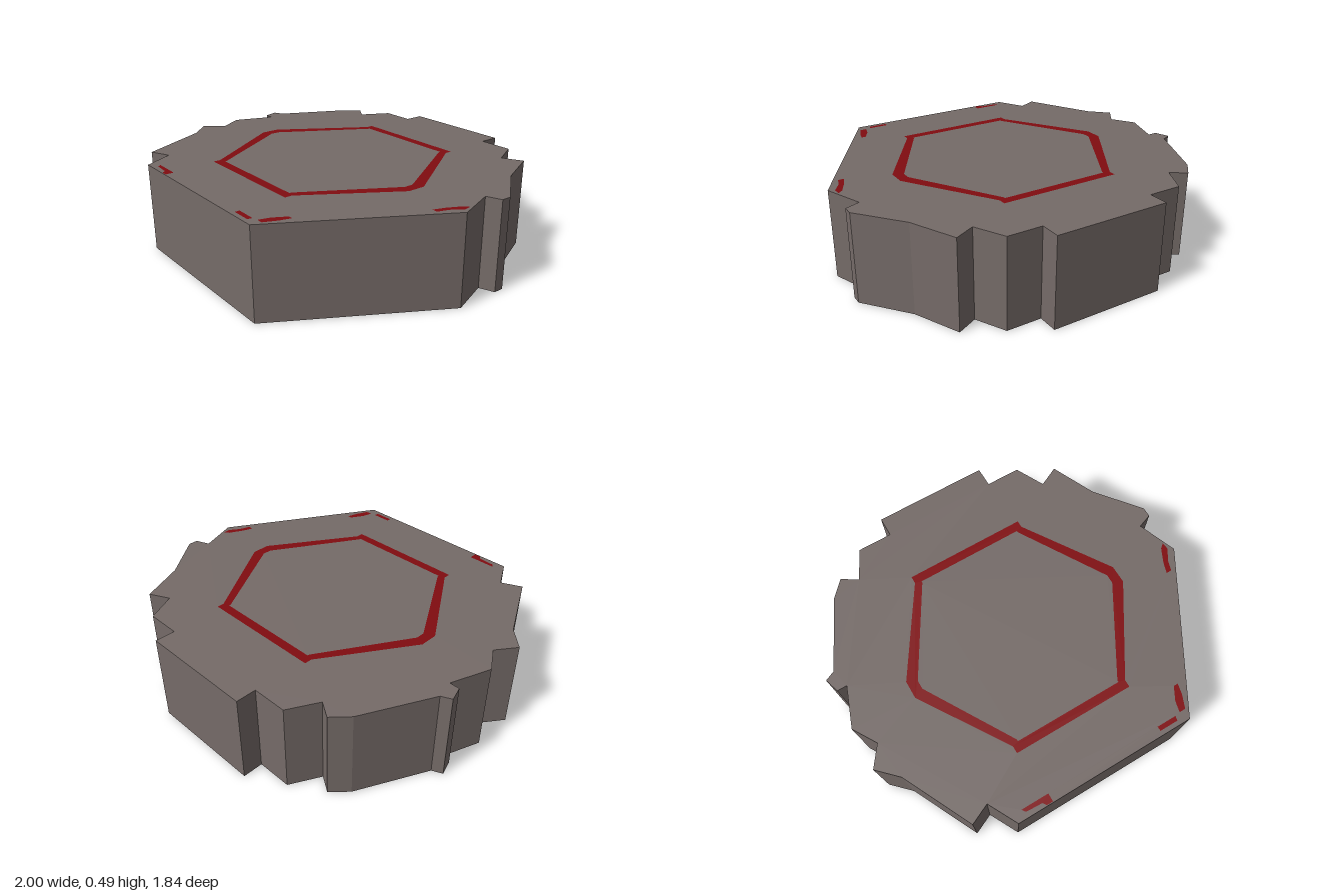
import * as THREE from 'three';

const HEIGHT = 0.49;

// Notched hexagonal footprint as [x, z], clockwise seen from above
const outline = [
  [-0.32, -0.92], [0.32, -0.92], [0.32, -0.81], [0.51, -0.81],
  [0.59, -0.65], [0.7, -0.705], [0.81, -0.46], [1, -0.22], [1, -0.165], [0.92, -0.135],
  [1, 0.08], [0.51, 0.915], [-0.51, 0.915],
  [-0.595, 0.755], [-0.705, 0.805], [-0.895, 0.425], [-1, 0.32], [-0.92, 0.21],
  [-1, 0.08], [-0.92, -0.14], [-0.975, -0.14], [-1, -0.22], [-0.945, -0.245],
  [-0.76, -0.62], [-0.68, -0.705], [-0.595, -0.65], [-0.51, -0.81], [-0.32, -0.81],
];

// Edge marks left on the top near the rim
const marks = [
  [[0.94, 0.04], [0.965, 0.02], [0.97, 0.06], [0.93, 0.12], [0.91, 0.18], [0.88, 0.18], [0.9, 0.12]],
  [[0.54, 0.73], [0.565, 0.73], [0.55, 0.79], [0.52, 0.86], [0.485, 0.86], [0.5, 0.8]],
  [[-0.465, 0.865], [-0.31, 0.865], [-0.31, 0.91], [-0.345, 0.91], [-0.36, 0.89], [-0.45, 0.885]],
  [[0.345, 0.865], [0.455, 0.865], [0.45, 0.89], [0.345, 0.89]],
];

// Six-sided ring outline with blunt corners, mirrored about x = 0 and z = 0.05
function hexagon(x, z, cut, side, blunt) {
  const quarter = [[x, -z], [x, -z + cut], [side, -blunt]];
  const right = [...quarter, ...quarter.map(([a, b]) => [a, -b]).reverse()];
  return [...right, ...right.map(([a, b]) => [-a, b]).reverse()].map(([a, b]) => [a, b + 0.05]);
}

const toVectors = (points) => points.map(([x, z]) => new THREE.Vector2(x, -z));

// Flat face at the top level with optional holes
function flatFace(points, holes = []) {
  const shape = new THREE.Shape(toVectors(points));
  holes.forEach((hole) => shape.holes.push(new THREE.Path(toVectors(hole))));
  return new THREE.ShapeGeometry(shape).rotateX(-Math.PI / 2).translate(0, HEIGHT, 0);
}

// Upright walls following a closed outline
function wallGeometry(points) {
  const positions = [];
  points.forEach(([ax, az], i) => {
    const [bx, bz] = points[(i + 1) % points.length];
    positions.push(ax, 0, az, ax, HEIGHT, az, bx, HEIGHT, bz);
    positions.push(ax, 0, az, bx, HEIGHT, bz, bx, 0, bz);
  });
  const geometry = new THREE.BufferGeometry();
  geometry.setAttribute('position', new THREE.Float32BufferAttribute(positions, 3));
  geometry.computeVertexNormals();
  return geometry;
}

export function createModel() {
  const stone = new THREE.MeshStandardMaterial({ color: 0x756b68, side: THREE.DoubleSide });
  stone.name = 'stoneGrey';
  const red = new THREE.MeshStandardMaterial({ color: 0x800c10, side: THREE.DoubleSide });
  red.name = 'darkRed';

  const group = new THREE.Group();
  group.name = 'hexTile';
  const add = (name, geometry, material) => {
    const mesh = new THREE.Mesh(geometry, material);
    mesh.name = name;
    group.add(mesh);
  };

  const ringOuter = hexagon(0.34, 0.565, 0.04, 0.645, 0.05);
  const ringInner = hexagon(0.305, 0.515, 0.01, 0.59, 0.025);

  // Shell, open underneath
  add('sideWalls', wallGeometry(outline), stone);
  add('topSurface', flatFace(outline, [ringOuter, ...marks]), stone);
  add('topCentre', flatFace(ringInner), stone);

  // Red inlays filling the openings in the top
  add('redRing', flatFace(ringOuter, [ringInner]), red);
  marks.forEach((mark, i) => add(`redMark${i + 1}`, flatFace(mark), red));

  return group;
}
